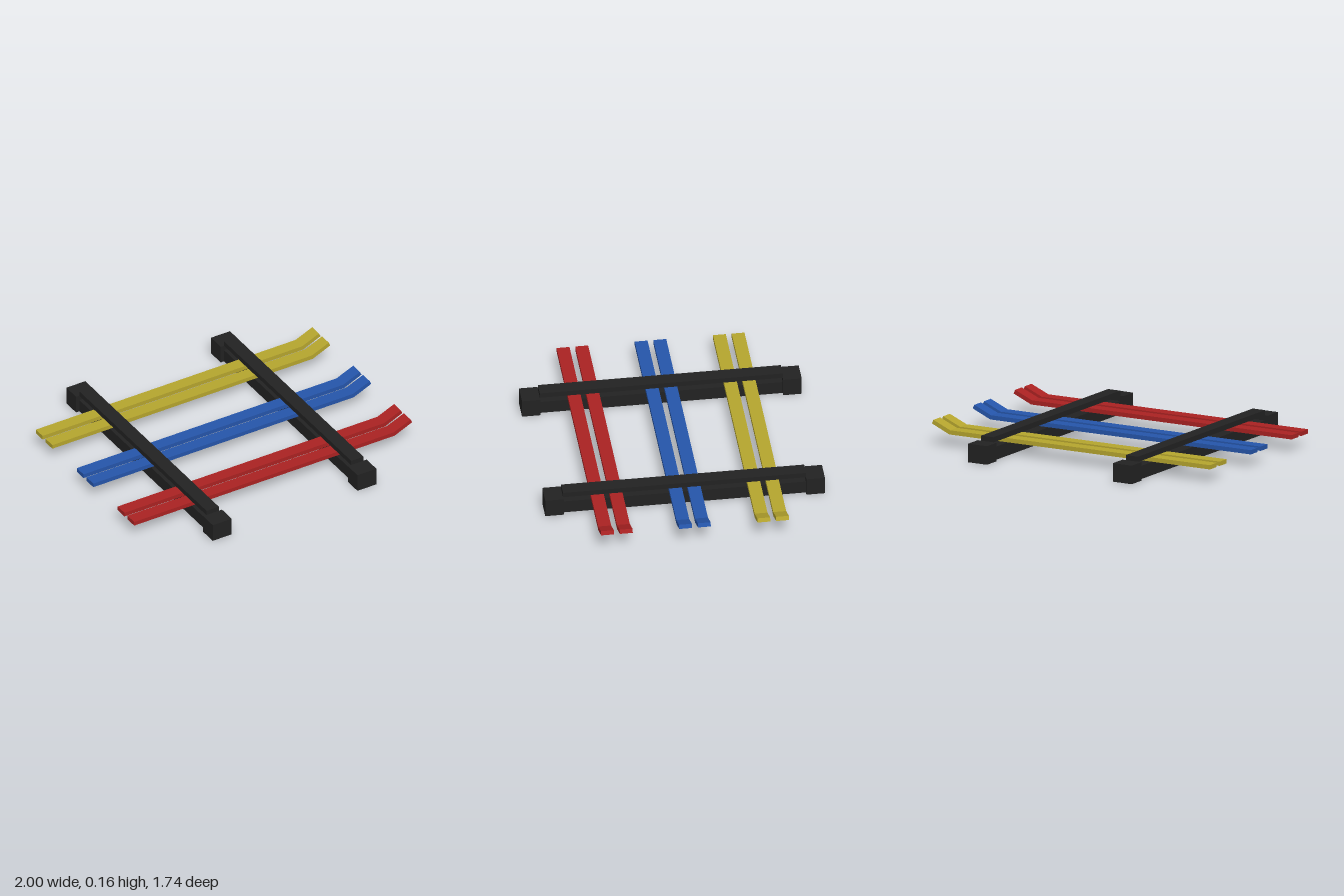
import * as THREE from 'three';

const paint = (color) => new THREE.MeshStandardMaterial({ color, flatShading: true });

function box(name, material, size, position) {
  const mesh = new THREE.Mesh(new THREE.BoxGeometry(...size), material);
  mesh.name = name;
  mesh.position.set(...position);
  return mesh;
}

// Side profile of a ski: flat blade with an upturned tip, extruded across its width
function skiGeometry(width) {
  const profile = new THREE.Shape([
    [-1, 0.084], [0.874, 0.084], [1, 0.139],
    [0.989, 0.163], [0.868, 0.111], [-1, 0.111],
  ].map(([x, y]) => new THREE.Vector2(x, y)));
  const geometry = new THREE.ExtrudeGeometry(profile, { depth: width, bevelEnabled: false });
  return geometry.translate(0, 0, -width / 2);
}

export function createModel() {
  const model = new THREE.Group();
  model.name = 'skiRack';
  const black = paint(0x222222);

  // Two crossbars, each with a lower beam, a clamping bar and a foot at each end
  for (const x of [-0.541, 0.5]) {
    const rack = new THREE.Group();
    rack.name = 'crossbar';
    rack.position.x = x;
    rack.add(box('lowerBeam', black, [0.088, 0.083, 1.52], [0, 0.0415, 0]));
    rack.add(box('clampBar', black, [0.088, 0.033, 1.51], [0, 0.132, 0]));
    for (const side of [-1, 1]) {
      rack.add(box('foot', black, [0.136, 0.117, 0.115], [0, 0.0585, side * 0.811]));
    }
    model.add(rack);
  }

  // Three pairs of skis held between the beams
  const ski = skiGeometry(0.08);
  const pairs = [
    ['redSkis', 0xaa2222, 0.483],
    ['blueSkis', 0x2555aa, -0.002],
    ['yellowSkis', 0xb5a52e, -0.488],
  ];
  for (const [name, color, z] of pairs) {
    const pair = new THREE.Group();
    pair.name = name;
    const material = paint(color);
    for (const side of [-1, 1]) {
      const mesh = new THREE.Mesh(ski, material);
      mesh.name = 'ski';
      mesh.position.z = z + side * 0.058;
      pair.add(mesh);
    }
    model.add(pair);
  }
  return model;
}
